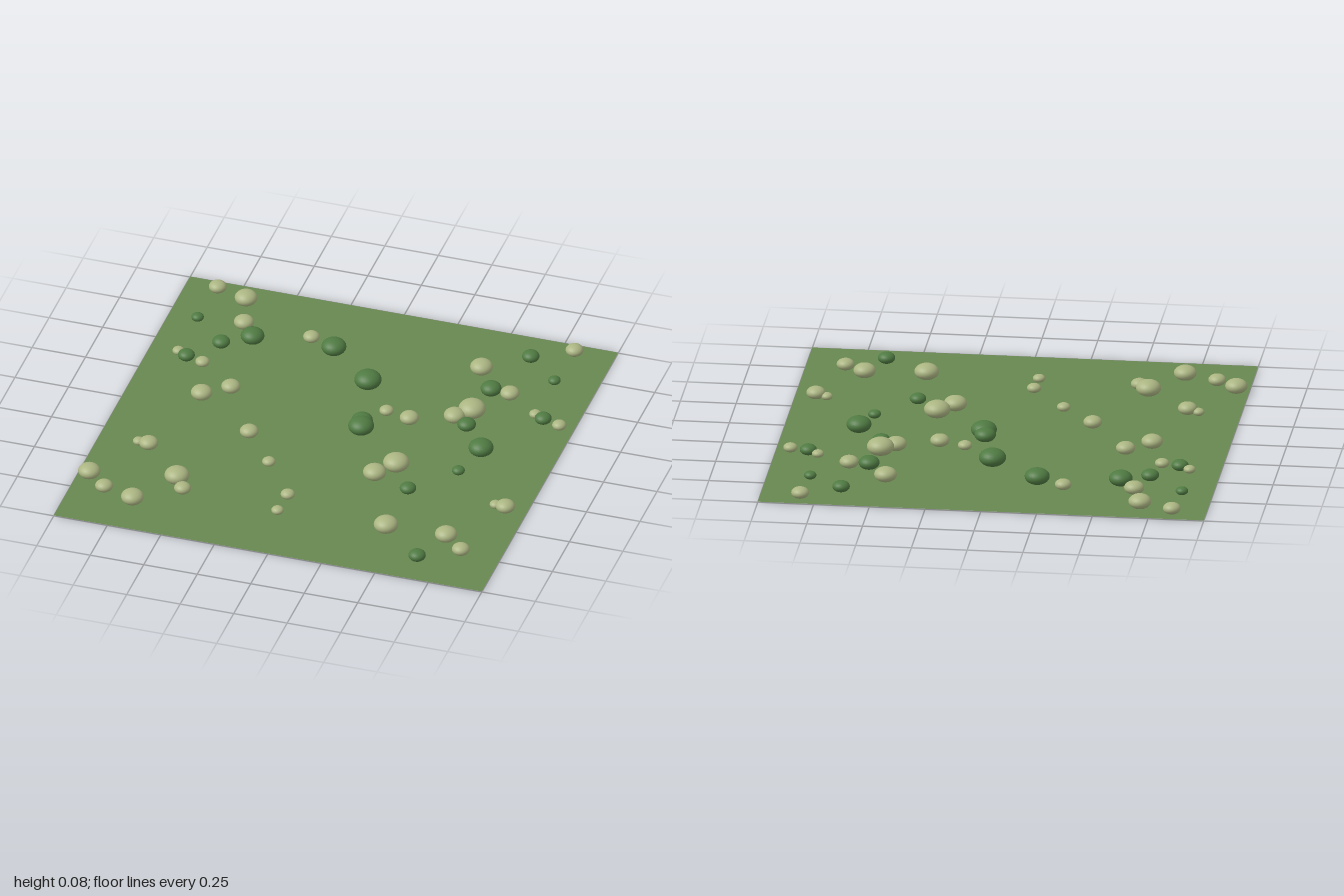
import * as THREE from 'three';

// Each entry: x, z, radius
const PALE = [
  [-0.65, -0.69, 0.045], [-0.33, -0.675, 0.037], [0.468, -0.665, 0.051], [0.65, -0.51, 0.043],
  [0.166, -0.22, 0.032], [0.283, -0.187, 0.043], [0.47, -0.262, 0.048], [0.532, -0.326, 0.061],
  [-0.55, -0.184, 0.043], [-0.658, -0.094, 0.048], [-0.364, 0.131, 0.042], [-0.21, 0.326, 0.03],
  [0.34, 0.184, 0.059], [0.27, 0.281, 0.052], [-0.56, 0.575, 0.056], [-0.51, 0.65, 0.038],
  [-0.05, 0.55, 0.032], [-0.056, 0.682, 0.028], [0.446, 0.666, 0.055],
];
const DARK = [
  [-0.70, -0.513, 0.04], [-0.578, -0.59, 0.053], [-0.206, -0.615, 0.056], [0.02, -0.406, 0.061],
  [0.09, -0.1, 0.048], [0.102, -0.048, 0.058], [0.663, -0.046, 0.056], [0.615, 0.136, 0.029],
  [0.446, 0.345, 0.037], [0.56, -0.516, 0.047], [0.542, -0.214, 0.042],
];

// The planting pattern repeats across the field at this spacing
const STEP = 1.667;
const PALE_ACROSS = [
  [-0.863, -0.398, 0.027], [-0.733, -0.342, 0.032], [-0.813, 0.342, 0.026],
  [-0.762, 0.356, 0.043], [-0.944, 0.655, 0.05], [-0.848, -0.927, 0.04], [-0.848, 0.74, 0.04],
];
const DARK_ACROSS = [[-0.863, -0.679, 0.028], [-0.816, -0.367, 0.038]];
const PALE_DEEP = [[-0.698, -0.872, 0.051]];
const DARK_DEEP = [[0.648, -0.822, 0.039]];

const across = list => list.flatMap(([x, z, r]) => [[x, z, r], [x + STEP, z, r]]);
const deep = list => list.flatMap(([x, z, r]) => [[x, z, r], [x, z + STEP, r]]);

export function createModel() {
  const model = new THREE.Group();
  const material = (name, color, side = THREE.FrontSide) =>
    new THREE.MeshStandardMaterial({ name, color, side });
  const grass = material('grass green', 0x68884f, THREE.DoubleSide);
  const pale = material('pale sage', 0xabb582);
  const dark = material('dark green', 0x4f7a42);

  // Flat square field
  const ground = new THREE.Mesh(new THREE.PlaneGeometry(2, 2).rotateX(-Math.PI / 2), grass);
  ground.name = 'ground';
  ground.position.y = 0.01;
  model.add(ground);

  // Flattened round bushes, sunk slightly into the field
  const ball = new THREE.SphereGeometry(1, 24, 16);
  const plant = (name, list, mat) => {
    const group = new THREE.Group();
    group.name = name;
    for (const [x, z, r] of list) {
      const bush = new THREE.Mesh(ball, mat);
      bush.name = 'bush';
      bush.scale.set(r, r * 0.66, r);
      bush.position.set(x, 0.011 + r * 0.6, z);
      group.add(bush);
    }
    model.add(group);
  };
  plant('paleBushes', [...PALE, ...across(PALE_ACROSS), ...deep(PALE_DEEP)], pale);
  plant('darkBushes', [...DARK, ...across(DARK_ACROSS), ...deep(DARK_DEEP)], dark);

  return model;
}
